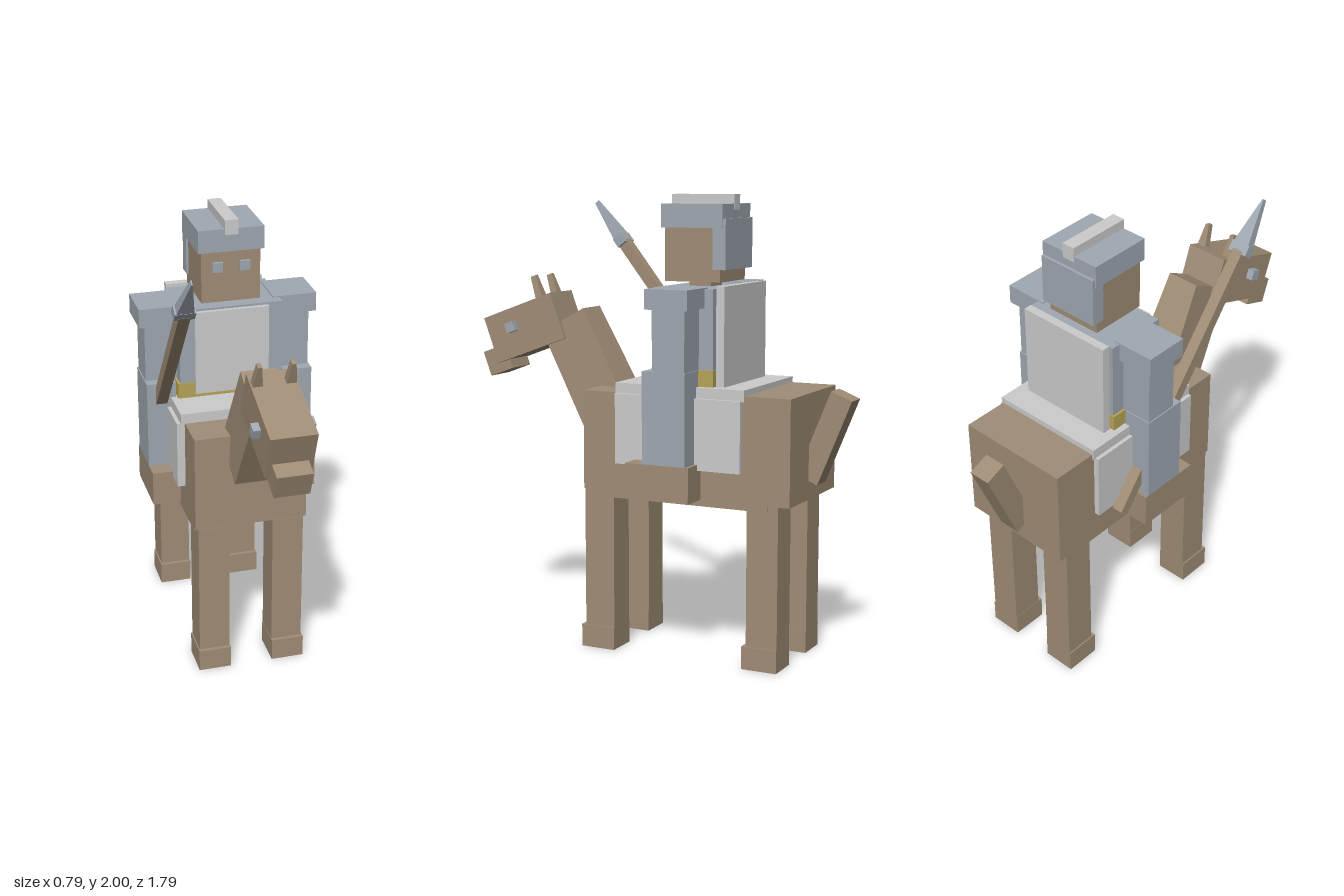
import * as THREE from 'three';

const mat = (name, color) => {
  const m = new THREE.MeshStandardMaterial({ color });
  m.name = name;
  return m;
};

export function createModel() {
  const model = new THREE.Group();
  model.name = 'mountedKnight';
  const tan = mat('tan', 0xa08d76);
  const steel = mat('steel', 0xa0a8b2);
  const pale = mat('paleGrey', 0xcccccc);
  const gold = mat('gold', 0xb8a557);

  // Box given by its ranges on each axis
  const block = (name, m, [x0, x1], [y0, y1], [z0, z1]) => {
    const mesh = new THREE.Mesh(new THREE.BoxGeometry(x1 - x0, y1 - y0, z1 - z0), m);
    mesh.position.set((x0 + x1) / 2, (y0 + y1) / 2, (z0 + z1) / 2);
    mesh.name = name;
    model.add(mesh);
    return mesh;
  };
  // Box tilted about x, its top face optionally scaled by tx, tz
  const tilted = (name, m, size, pos, angle, tx = 1, tz = 1) => {
    const geo = new THREE.BoxGeometry(...size);
    const p = geo.attributes.position;
    for (let i = 0; i < p.count; i++) {
      if (p.getY(i) > 0) p.setXYZ(i, p.getX(i) * tx, p.getY(i), p.getZ(i) * tz);
    }
    geo.computeVertexNormals();
    const mesh = new THREE.Mesh(geo, m);
    mesh.position.set(...pos);
    mesh.rotation.x = angle;
    mesh.name = name;
    model.add(mesh);
    return mesh;
  };
  const sym = (w) => [-w, w];
  const side = (s, a, b) => (s > 0 ? [a, b] : [-b, -a]);

  // Horse body
  block('chest', tan, sym(0.25), [0.72, 1.155], [-0.3, 0.27]);
  block('rump', tan, sym(0.26), [0.72, 1.175], [-0.705, -0.3]);
  block('belly', tan, sym(0.245), [0.69, 0.74], [-0.6, 0.22]);
  tilted('tail', tan, [0.1, 0.395, 0.1], [0, 0.987, -0.772], -0.386);

  // Horse neck and head
  const headTilt = 0.35;
  tilted('horseNeck', tan, [0.195, 0.467, 0.24], [0, 1.233, 0.362], 0.493, 0.78, 1);
  tilted('horseHead', tan, [0.195, 0.215, 0.372], [0, 1.395, 0.664], headTilt);
  tilted('horseMuzzle', tan, [0.15, 0.115, 0.125], [0, 1.241, 0.817], headTilt);

  for (const s of [1, -1]) {
    tilted('horseEar', tan, [0.045, 0.11, 0.035], [s * 0.07, 1.58, 0.603], headTilt, 0.4, 0.8);
    tilted('horseEye', steel, [0.045, 0.045, 0.045], [s * 0.107, 1.4, 0.72], headTilt);

    // Horse legs and hooves
    for (const z of [0.13, -0.645]) {
      block('horseLeg', tan, side(s, 0.098, 0.237), [0.1, 0.72], [z, z + 0.142]);
      block('hoof', tan, side(s, 0.096, 0.243), [0, 0.1], [z, z + 0.16]);
    }

    // Saddle flaps, rider legs and arms
    block('saddleFlap', pale, side(s, 0.25, 0.285), [0.85, 1.155], [-0.49, 0.097]);
    block('riderLeg', steel, side(s, 0.245, 0.375), [0.875, 1.27], [-0.28, -0.08]);
    block('boot', tan, side(s, 0.245, 0.375), [0.72, 0.875], [-0.295, 0]);
    block('riderArm', steel, side(s, 0.23, 0.37), [1.27, 1.53], [-0.275, -0.125]);
    block('shoulderPad', steel, side(s, 0.2, 0.397), [1.53, 1.615], [-0.3, -0.103]);
    block('riderEye', steel, side(s, 0.037, 0.083), [1.77, 1.813], [-0.068, -0.052]);
  }
  block('saddleCloth', pale, sym(0.268), [1.15, 1.2], [-0.5, 0.103]);

  // Rider torso
  block('belt', gold, sym(0.24), [1.2, 1.27], [-0.345, -0.057]);
  block('torso', steel, sym(0.23), [1.27, 1.61], [-0.34, -0.06]);
  block('chestPlate', pale, sym(0.165), [1.22, 1.6], [-0.06, -0.042]);
  block('cape', pale, sym(0.22), [1.2, 1.622], [-0.387, -0.35]);

  // Rider head and helmet
  block('riderNeck', tan, sym(0.055), [1.6, 1.64], [-0.25, -0.148]);
  block('riderHead', tan, sym(0.13), [1.632, 1.87], [-0.325, -0.066]);
  block('helmet', steel, sym(0.145), [1.86, 1.96], [-0.342, -0.055]);
  block('helmetBack', steel, sym(0.14), [1.685, 1.9], [-0.355, -0.295]);
  block('helmetCrest', pale, sym(0.03), [1.935, 2], [-0.345, -0.05]);

  // Spear leaning forward on the rider's right
  const lean = 0.667;
  const along = (d) => [-0.31, 1.775 + d * Math.cos(lean), 0.362 + d * Math.sin(lean)];
  tilted('spearShaft', tan, [0.05, 1.21, 0.05], along(-0.605), lean);
  tilted('spearCollar', steel, [0.088, 0.045, 0.048], along(0.01), lean);
  tilted('spearHead', steel, [0.075, 0.205, 0.046], along(0.13), lean, 0.08, 0.5);

  return model;
}
